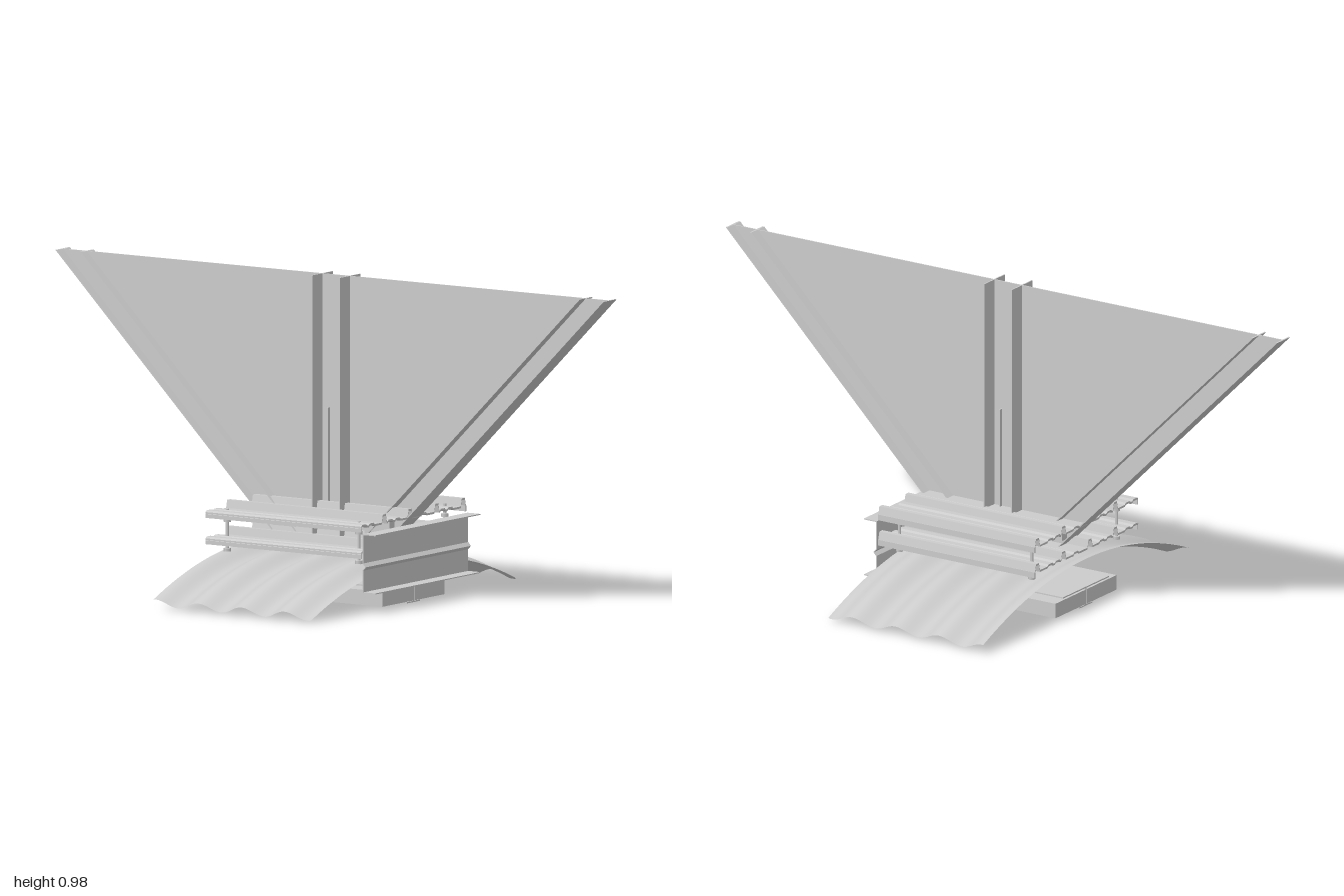
import * as THREE from 'three';

const mat = new THREE.MeshStandardMaterial({ color: 0xcccccc, side: THREE.DoubleSide });

export function createModel() {
  const root = new THREE.Group();

  const add = (name, geo, x = 0, y = 0, z = 0) => {
    const m = new THREE.Mesh(geo, mat);
    m.name = name;
    m.position.set(x, y, z);
    root.add(m);
    return m;
  };
  // box given by its min and max limits on each axis
  const box = (name, x0, x1, y0, y1, z0, z1) =>
    add(name, new THREE.BoxGeometry(x1 - x0, y1 - y0, z1 - z0), (x0 + x1) / 2, (y0 + y1) / 2, (z0 + z1) / 2);
  const outline = pts => new THREE.Shape(pts.map(p => new THREE.Vector2(...p)));
  const extrude = (pts, depth) => new THREE.ExtrudeGeometry(outline(pts), { depth, bevelEnabled: false });

  // Arched corrugated sheet
  const sheet = new THREE.PlaneGeometry(0.568, 1.11, 72, 32);
  sheet.rotateX(-Math.PI / 2);
  const p = sheet.attributes.position;
  for (let i = 0; i < p.count; i++) {
    const x = p.getX(i), z = p.getZ(i);
    const wave = 0.0125 * Math.cos((x - 0.035) * 2 * Math.PI / 0.157);
    const slope = -0.776 * z, n = Math.hypot(1, slope);
    p.setY(i, 0.137 - 0.388 * z * z + wave / n);
    p.setZ(i, z - slope * wave / n);
  }
  sheet.computeVertexNormals();
  add('corrugatedSheet', sheet);

  // Thin web plate between the two sloping arms
  add('webPlate', extrude([[-1, 0.975], [-0.165, 0.14], [0.165, 0.14], [1, 0.975]], 0.004), 0, 0, -0.002);

  // Sloping arm flanges: an outer and an inner strip on each side
  for (const s of [-1, 1]) {
    for (const [name, topX] of [['outerFlange', 0.997], ['innerFlange', 0.91]]) {
      const lowX = topX - 0.835;
      const f = [[lowX, 0.14], [lowX + 0.004, 0.14], [topX + 0.003, 0.975], [topX - 0.003, 0.975]]
        .map(([x, y]) => [s * x, y]);
      add(name, extrude(f, 0.07), 0, 0, -0.035);
    }
    // Upright stiffeners at the middle of the web
    box('uprightStiffener', s * 0.05 - 0.002, s * 0.05 + 0.002, 0.16, 0.975, -0.055, 0.055);
    box('shortStiffener', s * 0.022 - 0.002, s * 0.022 + 0.002, 0.16, 0.57, -0.014, 0.014);
    // Spacers between the decks
    box('deckSpacer', s * 0.17 - 0.045, s * 0.17 + 0.045, 0.2, 0.245, -0.03, 0.03);
  }

  // Two ribbed decks with the ribs running across
  const half = 0.281;
  const ribs = [[-0.265, 0.024], [-0.195, 0.005], [-0.155, 0.005], [-0.123, 0.024], [-0.055, 0.005],
    [0.02, 0.024], [0.085, 0.005], [0.125, 0.005], [0.158, 0.024], [0.225, 0.005], [0.266, 0.005]];
  const top = [[-half, 0]];
  for (const [z, h] of ribs) {
    const w = h > 0.01 ? 0.008 : 0.01;
    top.push([z - w - 0.006, 0], [z - w, h], [z + w, h], [z + w + 0.006, 0]);
  }
  top.push([half, 0]);
  top[1][0] = Math.max(top[1][0], -half + 0.001);
  const deckPts = [...top, ...top.map(([z, y]) => [z, y - 0.006]).reverse()];
  for (const [name, y] of [['upperDeck', 0.262], ['lowerDeck', 0.182]]) {
    const deck = extrude(deckPts, 0.568);
    deck.rotateY(-Math.PI / 2);
    add(name, deck, 0.284, y, 0);
    // folded side laps
    for (const s of [-1, 1]) box('deckLap', -0.284, 0.284, y - 0.018, y, s * 0.279 - 0.002, s * 0.279 + 0.002);
  }

  // Side channel with outward flanges and a shallow middle crease
  const mid = [[0.335, 0.06], [0.288, 0.06], [0.288, 0.13], [0.298, 0.14], [0.288, 0.15], [0.288, 0.24], [0.335, 0.24]];
  const inner = [[0.335, 0.237], [0.291, 0.237], [0.291, 0.151], [0.301, 0.14], [0.291, 0.129], [0.291, 0.063], [0.335, 0.063]];
  add('sideChannel', extrude([...mid, ...inner], 0.562), 0, 0, -0.281);

  // Foot beam under the sheet, with a block on each side of its web
  box('footWeb', -0.283, 0.283, 0, 0.06, -0.002, 0.002);
  box('footBottomFlange', -0.283, 0.283, 0, 0.004, -0.035, 0.035);
  box('footTopFlange', -0.283, 0.283, 0.056, 0.06, -0.125, 0.125);
  for (const s of [-1, 1]) {
    const z = s * 0.085;
    box('footBlock', -0.283, 0.283, 0.005, 0.051, z - 0.081, z + 0.081);
  }

  // Bolts through the deck corners
  for (const x of [-0.24, 0.24]) for (const z of [-0.23, 0.23]) {
    add('boltShank', new THREE.CylinderGeometry(0.005, 0.005, 0.13, 10), x, 0.205, z);
    for (const y of [0.145, 0.235]) add('boltNut', new THREE.CylinderGeometry(0.011, 0.011, 0.01, 6), x, y, z);
  }

  return root;
}
